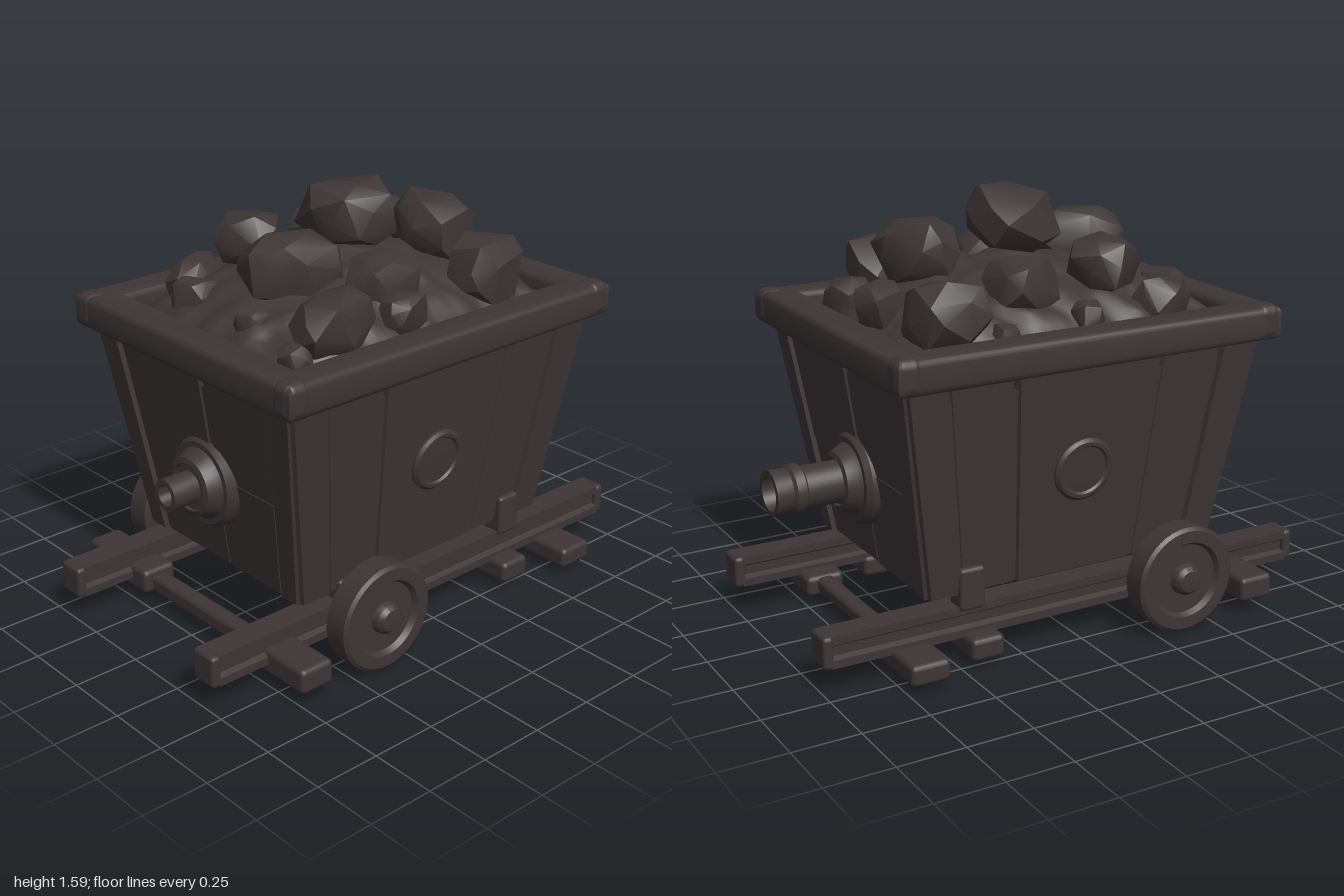
import * as THREE from 'three';
import { toCreasedNormals } from 'three/addons/utils/BufferGeometryUtils.js';
import { RoundedBoxGeometry } from 'three/addons/geometries/RoundedBoxGeometry.js';
import { ConvexGeometry } from 'three/addons/geometries/ConvexGeometry.js';

export function createModel() {
  const group = new THREE.Group();
  const iron = new THREE.MeshStandardMaterial({ color: 0x3d3536 });
  iron.name = 'dark iron';

  let seed = 7;
  const rand = () => (seed = (seed * 16807) % 2147483647) / 2147483647;
  const lerp = THREE.MathUtils.lerp;

  function add(name, geometry, x = 0, y = 0, z = 0) {
    const mesh = new THREE.Mesh(geometry, iron);
    mesh.name = name;
    mesh.position.set(x, y, z);
    group.add(mesh);
    return mesh;
  }
  const block = (name, w, h, d, x, y, z, r = 0.015) =>
    add(name, new RoundedBoxGeometry(w, h, d, 2, r), x, y, z);
  const lathe = (points, n = 32) => toCreasedNormals(
    new THREE.LatheGeometry(points.map(p => new THREE.Vector2(...p)), n), 0.6);

  // Tapered hopper: half width and half length at height y
  const Y0 = 0.26, Y1 = 1.1;
  const halfX = y => lerp(0.43, 0.545, (y - Y0) / (Y1 - Y0));
  const halfZ = y => lerp(0.585, 0.715, (y - Y0) / (Y1 - Y0));
  const hull = new THREE.BoxGeometry(2, 0.74, 2).translate(0, Y0 + 0.37, 0);
  const hp = hull.attributes.position;
  for (let i = 0; i < hp.count; i++) {
    const y = hp.getY(i);
    hp.setXYZ(i, hp.getX(i) * halfX(y), y, hp.getZ(i) * halfZ(y));
  }
  hull.computeVertexNormals();
  add('hopper', hull);

  // Raised planks following the slope of each wall, u from -1 to 1 across it
  function plank(name, u0, u1, depth, turn, y0 = Y0, y1 = Y1) {
    const [across, out] = turn % 2 ? [halfZ, halfX] : [halfX, halfZ];
    const g = new THREE.BoxGeometry(1, 1, 1);
    const p = g.attributes.position;
    for (let i = 0; i < p.count; i++) {
      const outer = p.getZ(i) > 0;
      const y = lerp(y0, y1, p.getY(i) + 0.5);
      const inset = outer ? 0.012 : 0;
      const u = p.getX(i) < 0 ? u0 * across(y) + inset : u1 * across(y) - inset;
      p.setXYZ(i, u, y, out(y) + (outer ? depth : -0.02));
    }
    const flat = g.toNonIndexed();
    flat.computeVertexNormals();
    add(name, flat).rotation.y = turn * Math.PI / 2;
  }
  for (let turn = 0; turn < 4; turn++) {
    plank('cornerPlank', -1.02, -0.78, 0.018, turn);
    plank('cornerPlank', 0.78, 1.02, 0.018, turn);
    if (turn % 2) {
      plank('wallPlank', -0.79, -0.42, 0.005, turn);
      plank('wallPlank', -0.42, 0.42, 0.012, turn);
      plank('wallPlank', 0.42, 0.79, 0.005, turn);
    } else {
      plank('wallPlank', -0.79, 0.1, 0.008, turn, 0.64);
      plank('wallPlank', 0.1, 0.79, 0.004, turn, 0.64);
      plank('wallPlank', -0.79, 0.1, 0.003, turn, Y0, 0.64);
      plank('wallPlank', 0.1, 0.79, 0.008, turn, Y0, 0.64);
    }
  }

  // Thick rim around the opening
  const rect = (P, x, z) => {
    const s = new P();
    s.moveTo(-x, -z).lineTo(x, -z).lineTo(x, z).lineTo(-x, z).closePath();
    return s;
  };
  const rimShape = rect(THREE.Shape, 0.585, 0.75);
  rimShape.holes.push(rect(THREE.Path, 0.495, 0.66));
  const rim = new THREE.ExtrudeGeometry(rimShape, {
    depth: 0.075, bevelThickness: 0.025, bevelSize: 0.023, bevelSegments: 3,
  });
  rim.rotateX(-Math.PI / 2);
  add('rim', toCreasedNormals(rim, 0.7), 0, 1.08, 0);
  for (const sx of [-1, 1]) for (const sz of [-1, 1])
    block('rimCorner', 0.1, 0.13, 0.1, sx * 0.562, 1.122, sz * 0.727, 0.035);

  // Gravel mound inside the hopper
  const mound = new THREE.PlaneGeometry(1.04, 1.4, 30, 40).rotateX(-Math.PI / 2);
  const mp = mound.attributes.position;
  for (let i = 0; i < mp.count; i++) {
    const x = mp.getX(i), z = mp.getZ(i);
    const dome = Math.max((1 - (x / 0.52) ** 2) * (1 - (z / 0.7) ** 2), 0);
    const bumps = (Math.sin(x * 37 + 2 * Math.sin(z * 13)) + Math.sin(z * 33 + 2 * Math.sin(x * 15))) * 0.008;
    mp.setY(i, 1.02 + 0.31 * Math.sqrt(dome) + bumps + rand() * 0.015);
  }
  mound.computeVertexNormals();
  add('gravel', mound);

  // Chunks of ore: centre x, y, z, half sizes and turn about y
  const rocks = [
    [0.01, 1.475, 0.0, 0.17, 0.115, 0.15, 0.1], [0.08, 1.36, 0.32, 0.11, 0.115, 0.18, -0.5],
    [0.09, 1.37, -0.34, 0.16, 0.12, 0.13, 0.3], [0.36, 1.27, -0.35, 0.12, 0.13, 0.14, 0.2],
    [-0.34, 1.24, -0.46, 0.13, 0.12, 0.14, 0.1], [-0.28, 1.29, -0.13, 0.12, 0.11, 0.12, 0.1],
    [-0.3, 1.345, 0.2, 0.115, 0.095, 0.115, 0.6], [0.27, 1.28, 0.06, 0.1, 0.11, 0.14, 0],
    [0.41, 1.21, 0.09, 0.065, 0.08, 0.09, 0.2], [-0.43, 1.19, 0.05, 0.07, 0.06, 0.055, 0],
    [0.36, 1.23, 0.38, 0.11, 0.11, 0.16, 0.25], [-0.38, 1.19, 0.4, 0.085, 0.1, 0.12, 0.5],
    [-0.22, 1.2, 0.52, 0.085, 0.08, 0.065, 0.5], [0.12, 1.21, 0.53, 0.06, 0.06, 0.06, 0],
    [0.37, 1.15, 0.55, 0.06, 0.06, 0.05, 0.3], [-0.06, 1.22, -0.56, 0.085, 0.1, 0.1, 0.3],
    [0.2, 1.2, -0.57, 0.085, 0.08, 0.08, 0.2], [-0.43, 1.15, -0.28, 0.05, 0.06, 0.05, 0],
  ];
  for (const [x, y, z, sx, sy, sz, turn] of rocks) {
    const points = [], start = rand() * 6;
    for (let i = 0; i < 26; i++) {
      const h = 1 - 2 * (i + 0.5) / 26, a = i * 2.4 + start + rand() * 0.5, r = Math.sqrt(1 - h * h);
      const p = new THREE.Vector3(r * Math.cos(a), h, r * Math.sin(a));
      // Push the sphere towards a block with broad faces
      const boxy = (p.x ** 4 + p.y ** 4 + p.z ** 4) ** -0.25;
      points.push(p.multiplyScalar(boxy * (0.92 + rand() * 0.14)).multiply(new THREE.Vector3(sx, sy, sz)));
    }
    const rock = add('rock', toCreasedNormals(new ConvexGeometry(points), 0.6), x, y, z);
    rock.rotation.set(rand() * 0.3 - 0.15, turn, rand() * 0.3 - 0.15);
  }

  // Stepped flange with a hollow pipe at each end
  const flange = [[0.172, -0.06], [0.172, 0.015], [0.155, 0.035], [0.135, 0.035], [0.125, 0.05],
    [0.11, 0.085], [0.09, 0.09], [0.085, 0.08]];
  const frontPipe = [...flange, [0.06, 0.08], [0.06, 0.19], [0.04, 0.19], [0.035, 0.12], [0, 0.12]];
  const rearPipe = [...flange, [0.078, 0.08], [0.078, 0.22], [0.092, 0.23], [0.092, 0.265], [0.08, 0.275],
    [0.085, 0.34], [0.065, 0.34], [0.06, 0.22], [0, 0.22]];
  add('frontPipe', lathe(frontPipe), 0, 0.605, 0.65).rotation.x = Math.PI / 2;
  add('rearPipe', lathe(rearPipe), 0, 0.59, -0.65).rotation.x = -Math.PI / 2;

  // Rail cross-section with a grooved web
  const rail = new THREE.Shape();
  [[-0.055, 0.1], [0.055, 0.1], [0.055, 0.13], [0.035, 0.14], [0.035, 0.175], [0.05, 0.185], [0.05, 0.215],
    [-0.05, 0.215], [-0.05, 0.185], [-0.035, 0.175], [-0.035, 0.14], [-0.055, 0.13]]
    .forEach(([x, y], i) => (i ? rail.lineTo(x, y) : rail.moveTo(x, y)));
  const railGeometry = new THREE.ExtrudeGeometry(rail, { depth: 1.94, bevelEnabled: false });

  const boss = [[0.12, -0.03], [0.12, 0.008], [0.108, 0.018], [0.095, 0.018], [0.088, 0.01], [0, 0.012]];
  const wheel = [[0, -0.055], [0.185, -0.055], [0.2, -0.045], [0.203, 0.045], [0.19, 0.055], [0.145, 0.055],
    [0.132, 0.035], [0.06, 0.035], [0.055, 0.06], [0.04, 0.075], [0, 0.08]];

  for (const s of [-1, 1]) {
    add('rail', railGeometry, s * 0.405, 0, -0.97);
    for (const e of [-1, 1]) block('railEnd', 0.112, 0.12, 0.04, s * 0.405, 0.158, e * 0.98);

    // Side boss, tilted with the wall
    add('sideBoss', lathe(boss), s * (halfX(0.66) + 0.012), 0.66, 0).rotation.z = -s * (Math.PI / 2 + 0.13);

    // Single front wheel on each side
    add('wheel', lathe(wheel, 40), s * 0.588, 0.207, 0.365).rotation.z = -s * Math.PI / 2;

    // Sleeper ends and supports
    block('frontSleeperEnd', 0.375, 0.095, 0.14, s * 0.457, 0.105, 0.69, 0.02);
    block('rearSleeperEnd', 0.35, 0.08, 0.15, s * 0.44, 0.075, -0.67, 0.02);
    block('sleeperStub', 0.2, 0.085, 0.13, s * 0.44, 0.075, -0.405, 0.02);
    block('hopperBracket', 0.09, 0.16, 0.1, s * 0.425, 0.28, -0.43);
    block('axleBracket', 0.09, 0.12, 0.12, s * 0.41, 0.235, 0.365);
  }

  // Cross bars and axle
  block('frontCrossBar', 0.7, 0.07, 0.07, 0, 0.092, 0.69, 0.02);
  block('rearCrossBar', 0.7, 0.06, 0.07, 0, 0.078, -0.67, 0.02);
  add('axle', new THREE.CylinderGeometry(0.04, 0.04, 1.1, 16), 0, 0.205, 0.365).rotation.z = Math.PI / 2;

  return group;
}
